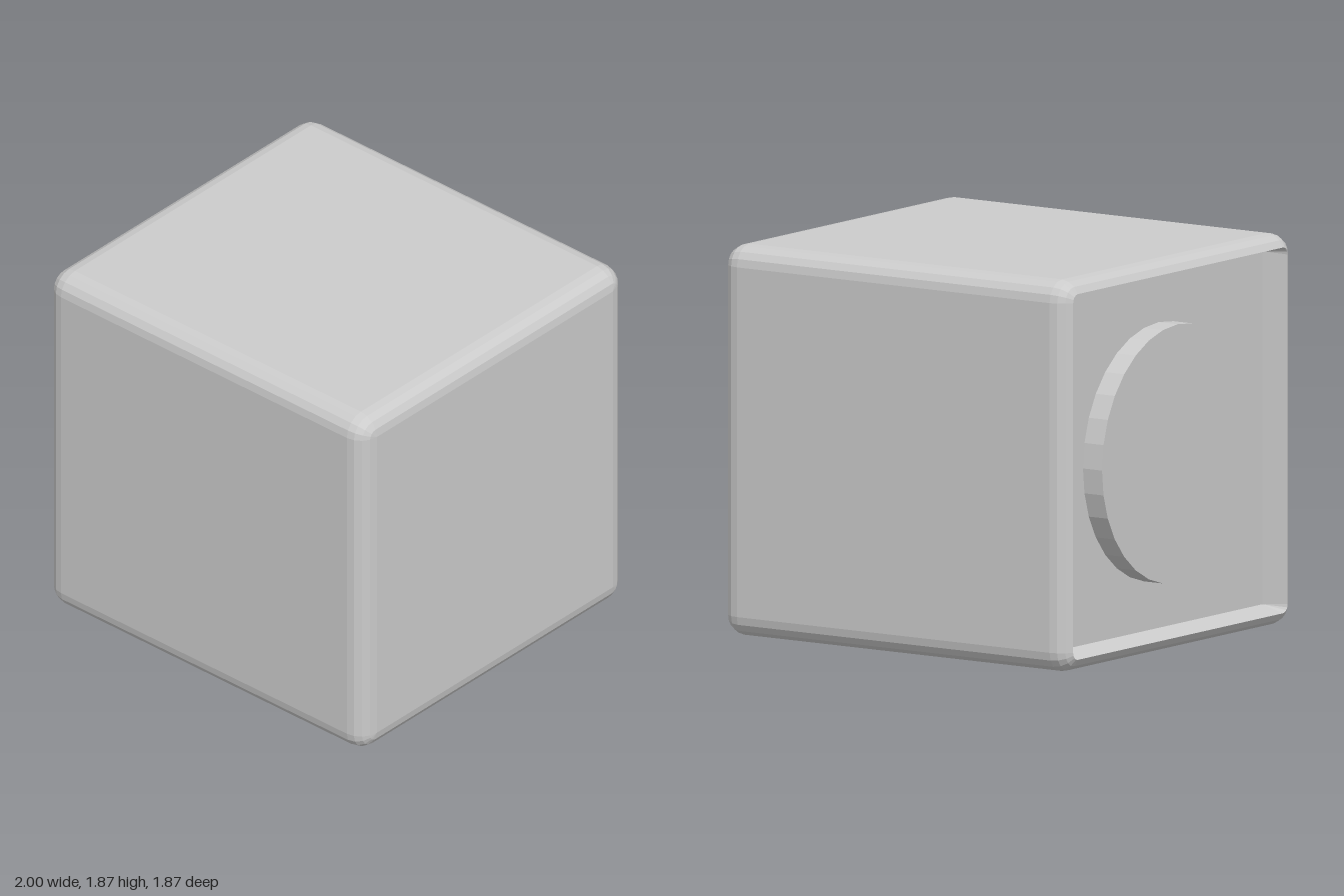
import * as THREE from 'three';

const HALF = 0.935;        // half height and half depth of the housing
const R = 0.1;             // edge rounding
const CORE = HALF - R;     // flat half-size inside the rounding
const STEPS = 4;           // facets per rounded edge
const PANEL_X = -0.875;    // depth of the recessed panel
const DISC_X = -0.985;     // front of the raised disc

// Rounded square in the y-z plane at a given x
function ring(x, core, radius) {
  const points = [];
  for (let c = 0; c < 4; c++) {
    const mid = (c + 0.5) * Math.PI / 2;
    for (let s = 0; s <= STEPS; s++) {
      const a = (c + s / STEPS) * Math.PI / 2;
      points.push([
        x,
        HALF + Math.sign(Math.cos(mid)) * core + Math.cos(a) * radius,
        Math.sign(Math.sin(mid)) * core + Math.sin(a) * radius,
      ]);
    }
  }
  return points;
}

// Skin a series of rings running from +x to -x
function loft(rings) {
  const n = rings[0].length;
  const index = [];
  for (let i = 0; i < rings.length - 1; i++) {
    for (let j = 0; j < n; j++) {
      const a = i * n + j, b = i * n + (j + 1) % n;
      index.push(a, a + n, b, b, a + n, b + n);
    }
  }
  const geometry = new THREE.BufferGeometry();
  geometry.setAttribute('position', new THREE.Float32BufferAttribute(rings.flat(2), 3));
  geometry.setIndex(index);
  const flat = geometry.toNonIndexed();
  flat.computeVertexNormals();
  return flat;
}

export function createModel() {
  const group = new THREE.Group();
  group.name = 'roundedCubeWithRecess';
  const material = new THREE.MeshStandardMaterial({
    color: 0xcccccc, flatShading: true, side: THREE.DoubleSide,
  });
  const add = (name, geometry) => {
    const mesh = new THREE.Mesh(geometry, material);
    mesh.name = name;
    group.add(mesh);
    return mesh;
  };

  // Housing: closed, rounded at +x, open with a rounded lip at -x
  const shell = [ring(1, 0, 0)];
  for (let s = STEPS; s >= 0; s--) {
    const t = s / STEPS * Math.PI / 2;
    shell.push(ring(1 - R + R * Math.sin(t), CORE, R * Math.cos(t)));
  }
  const lipAngle = (STEPS - 1) / STEPS * Math.PI / 2;
  const lipCentre = -1 + R * Math.sin(lipAngle);
  for (let s = 0; s < STEPS; s++) {
    const t = s / STEPS * Math.PI / 2;
    shell.push(ring(lipCentre - R * Math.sin(t), CORE, R * Math.cos(t)));
  }
  add('housing', loft(shell));

  // Slightly tapered walls leading in from the lip
  const lip = shell[shell.length - 1];
  const panelEdge = ring(PANEL_X, CORE + 0.008, 0);
  add('recessWalls', loft([lip, panelEdge]));

  // Flat panel at the bottom of the recess
  add('recessPanel', loft([panelEdge, ring(PANEL_X, 0, 0)]));

  // Raised round disc on the panel
  const disc = add('disc', new THREE.CylinderGeometry(0.617, 0.617, PANEL_X - DISC_X, 32));
  disc.rotation.z = Math.PI / 2;
  disc.position.set((PANEL_X + DISC_X) / 2, HALF, 0);

  return group;
}
